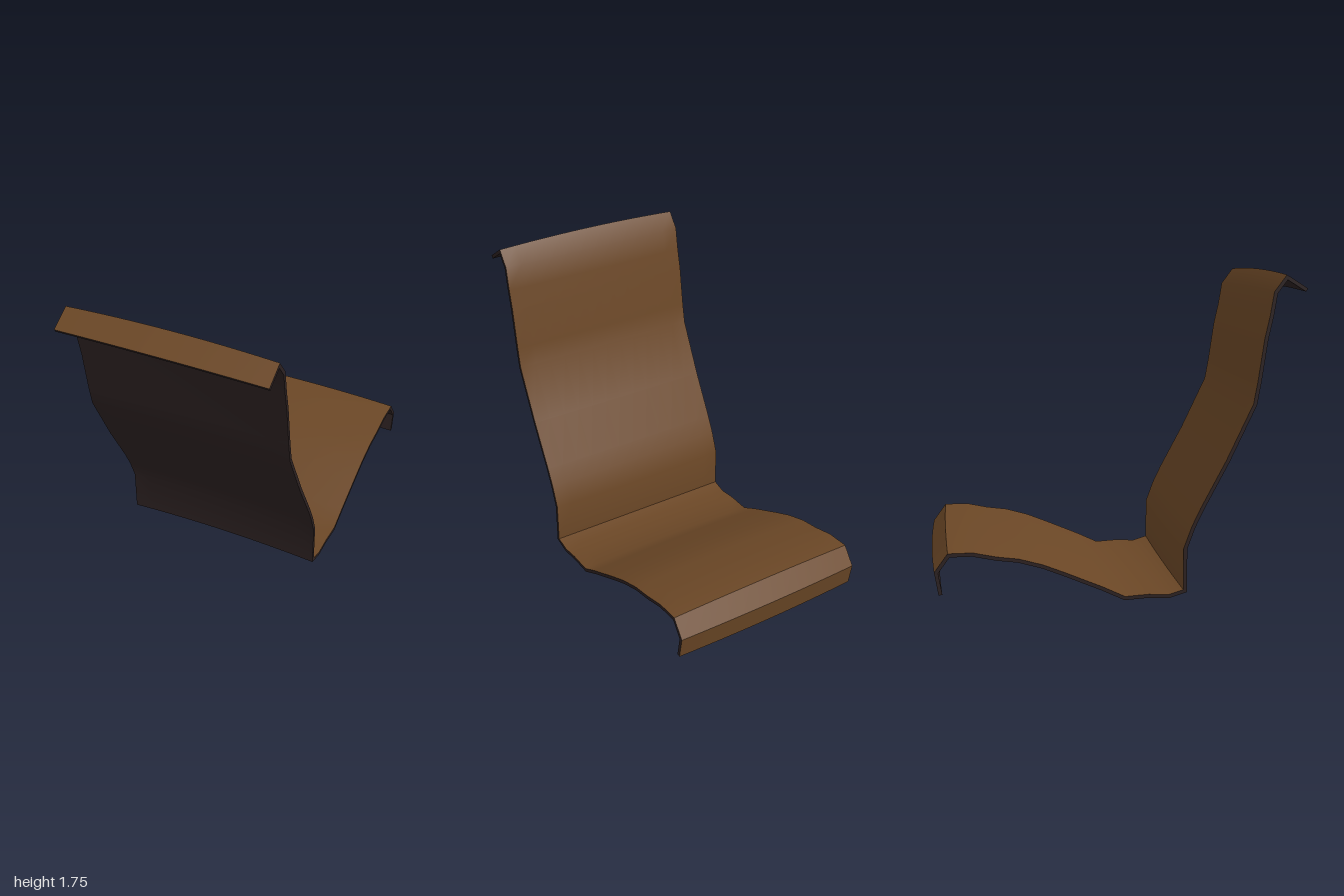
import * as THREE from 'three';
import { toCreasedNormals } from 'three/addons/utils/BufferGeometryUtils.js';

const HALF_WIDTH = 0.58, HALF_BAND = 0.016, BOW = 0.012, COLUMNS = 12;

// Centre line of the shell as [z, y], from the head roll down to the front lip of the seat
const PROFILE = [
  [0.993, 1.658], [0.88, 1.728], [0.817, 1.643], [0.796, 1.515], [0.77, 1.397], [0.737, 1.167],
  [0.716, 1.05], [0.571, 0.745], [0.437, 0.494], [0.389, 0.393], [0.346, 0.275], [0.346, 0.043],
  [0.26, 0.018], [0.153, 0.025], [0.024, 0.018], [-0.094, 0.075], [-0.298, 0.163], [-0.416, 0.211],
  [-0.544, 0.248], [-0.662, 0.264], [-0.786, 0.291], [-0.914, 0.291], [-0.984, 0.195], [-0.963, 0.072],
].map(([z, y]) => new THREE.Vector2(z, y));

// Mitred normals pointing to the sitting side
const NORMALS = PROFILE.map((p, i) => {
  const side = (a, b) => new THREE.Vector2(b.y - a.y, a.x - b.x).normalize();
  const last = PROFILE.length - 1;
  const n0 = side(PROFILE[Math.max(i - 1, 0)], PROFILE[Math.max(i, 1)]);
  const n1 = side(PROFILE[Math.min(i, last - 1)], PROFILE[Math.min(i + 1, last)]);
  const n = n0.clone().add(n1).normalize();
  return n.divideScalar(n.dot(n0));
});

// Point on the shell: profile index, column across the width, side (0 underside, 1 upholstery)
function shellPoint(i, column, side) {
  const t = (column / COLUMNS) * 2 - 1;
  const bow = BOW * (1 - t * t);
  const offset = side ? HALF_BAND - BOW + bow : -HALF_BAND + bow;
  const p = PROFILE[i], n = NORMALS[i];
  return [t * HALF_WIDTH, p.y + n.y * offset, p.x + n.x * offset];
}

// Grid surface facing the direction u x v
function surface(name, nu, nv, point, material) {
  const positions = [], index = [];
  for (let u = 0; u <= nu; u++) {
    for (let v = 0; v <= nv; v++) {
      positions.push(...point(u, v));
      if (u < nu && v < nv) {
        const a = u * (nv + 1) + v, b = a + nv + 1;
        index.push(a, b, b + 1, a, b + 1, a + 1);
      }
    }
  }
  const geometry = new THREE.BufferGeometry();
  geometry.setAttribute('position', new THREE.Float32BufferAttribute(positions, 3));
  geometry.setIndex(index);
  const mesh = new THREE.Mesh(toCreasedNormals(geometry, 0.6), material);
  mesh.name = name;
  return mesh;
}

export function createModel() {
  const brown = new THREE.MeshStandardMaterial({ color: 0x6b4726 });
  brown.name = 'brown upholstery';
  const dark = new THREE.MeshStandardMaterial({ color: 0x2c2121 });
  dark.name = 'dark shell';

  const group = new THREE.Group();
  group.name = 'seatShell';
  const n = PROFILE.length - 1, C = COLUMNS;
  group.add(
    // Sitting face and underside
    surface('sittingFace', C, n, (u, v) => shellPoint(v, u, 1), brown),
    surface('shellBack', n, C, (u, v) => shellPoint(u, v, 0), dark),
    // Side rims
    surface('leftRim', n, 1, (u, v) => shellPoint(u, C, v), dark),
    surface('rightRim', 1, n, (u, v) => shellPoint(v, 0, u), dark),
    // Head roll and seat lip ends
    surface('headEdge', C, 1, (u, v) => shellPoint(0, u, v), dark),
    surface('seatLipEdge', 1, C, (u, v) => shellPoint(n, v, u), dark),
  );
  return group;
}
